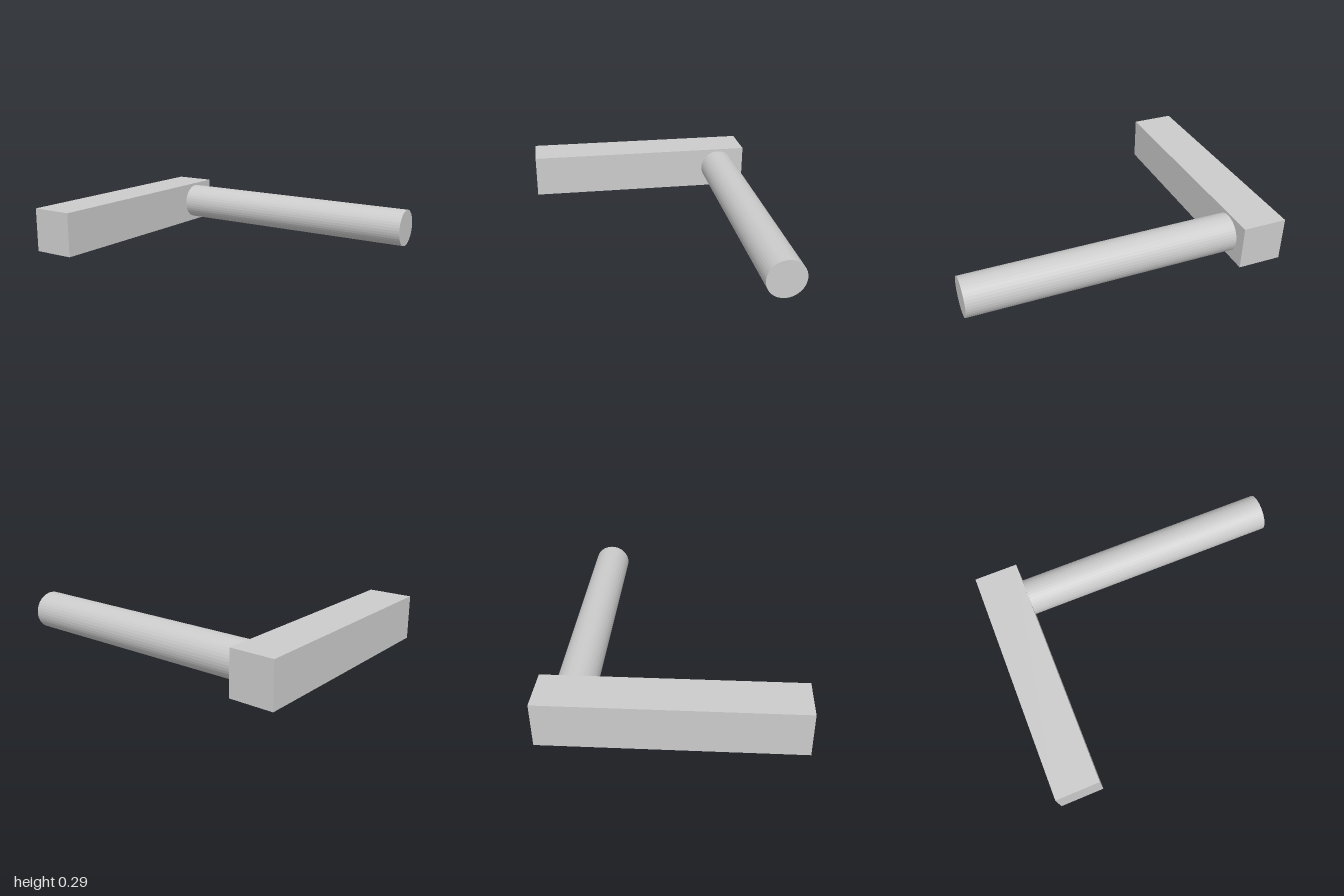
import * as THREE from 'three';

export function createModel() {
  const group = new THREE.Group();
  const grey = new THREE.MeshStandardMaterial({ color: 0xcccccc });
  const faceted = new THREE.MeshStandardMaterial({ color: 0xcccccc, flatShading: true });

  // Square bar running front to back
  const bar = new THREE.Mesh(new THREE.BoxGeometry(0.285, 0.287, 1.566), grey);
  bar.name = 'bar';
  bar.position.set(-0.8575, 0.1435, 0);
  group.add(bar);

  // Round rod from the bar's side near the back, dipping very slightly
  const start = new THREE.Vector3(-0.72, 0.149, -0.588);
  const end = new THREE.Vector3(1, 0.143, -0.588);
  const along = end.clone().sub(start);
  const rod = new THREE.Mesh(new THREE.CylinderGeometry(0.122, 0.122, along.length(), 40), faceted);
  rod.name = 'rod';
  rod.position.copy(start).add(end).multiplyScalar(0.5);
  rod.quaternion.setFromUnitVectors(new THREE.Vector3(0, 1, 0), along.normalize());
  group.add(rod);

  return group;
}
